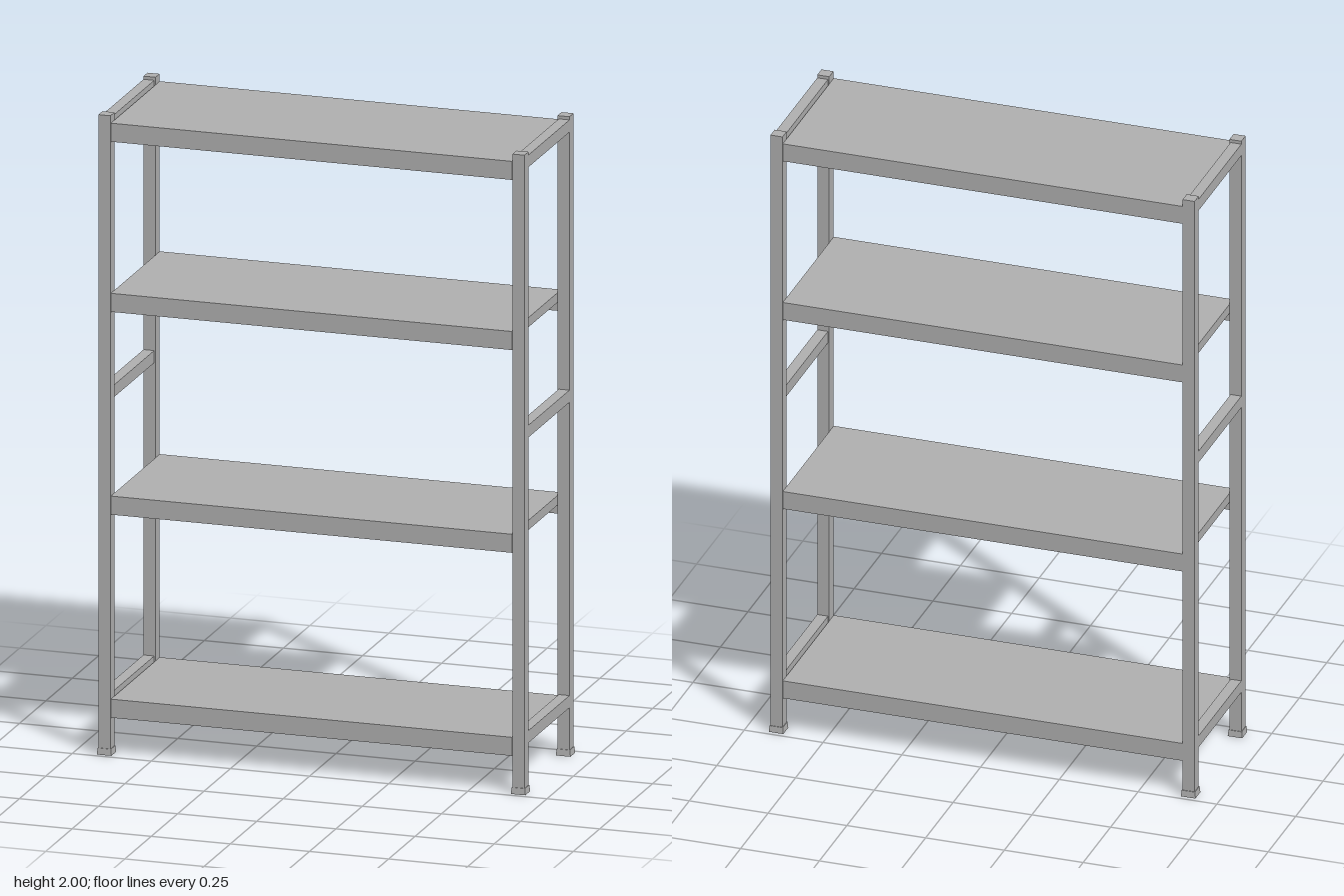
import * as THREE from 'three';

export function createModel() {
  const model = new THREE.Group();
  model.name = 'shelvingRack';
  const steel = new THREE.MeshStandardMaterial({ color: 0xb0b0b0 });
  steel.name = 'grey steel';

  // box given by its centre x, bottom y, centre z and size
  const box = (parent, name, x, y, z, w, h, d) => {
    const mesh = new THREE.Mesh(new THREE.BoxGeometry(w, h, d), steel);
    mesh.name = name;
    mesh.position.set(x, y + h / 2, z);
    parent.add(mesh);
    return mesh;
  };

  const postX = 0.654, postZ = 0.213, postW = 0.038;

  // corner posts, each in a slightly flared foot
  for (const sx of [-1, 1]) {
    for (const sz of [-1, 1]) {
      box(model, 'post', sx * postX, 0.004, sz * postZ, postW, 1.996, postW);
      const foot = box(model, 'foot', sx * postX, 0, sz * postZ, 0.046, 0.02, 0.046);
      const p = foot.geometry.attributes.position;
      for (let i = 0; i < p.count; i++) {
        if (p.getY(i) > 0) p.setXYZ(i, p.getX(i) * 0.91, p.getY(i), p.getZ(i) * 0.91);
      }
      foot.geometry.computeVertexNormals();
    }
    // side rails joining the front and back posts
    for (const y of [0.152, 1.107, 1.952]) {
      box(model, 'sideRail', sx * 0.656, y, 0, 0.034, 0.038, 2 * postZ - postW);
    }
  }

  // shelves: panel, front and back beams, two cross bars underneath
  for (const top of [0.176, 0.811, 1.445, 1.977]) {
    const shelf = new THREE.Group();
    shelf.name = 'shelf';
    shelf.position.y = top;
    model.add(shelf);
    box(shelf, 'panel', 0, -0.03, 0, 1.268, 0.03, 0.404);
    for (const s of [-1, 1]) {
      box(shelf, 'beam', 0, -0.058, s * 0.217, 1.268, 0.058, 0.03);
      box(shelf, 'crossBar', s * 0.3, -0.055, 0, 0.028, 0.025, 0.404);
    }
  }
  return model;
}
